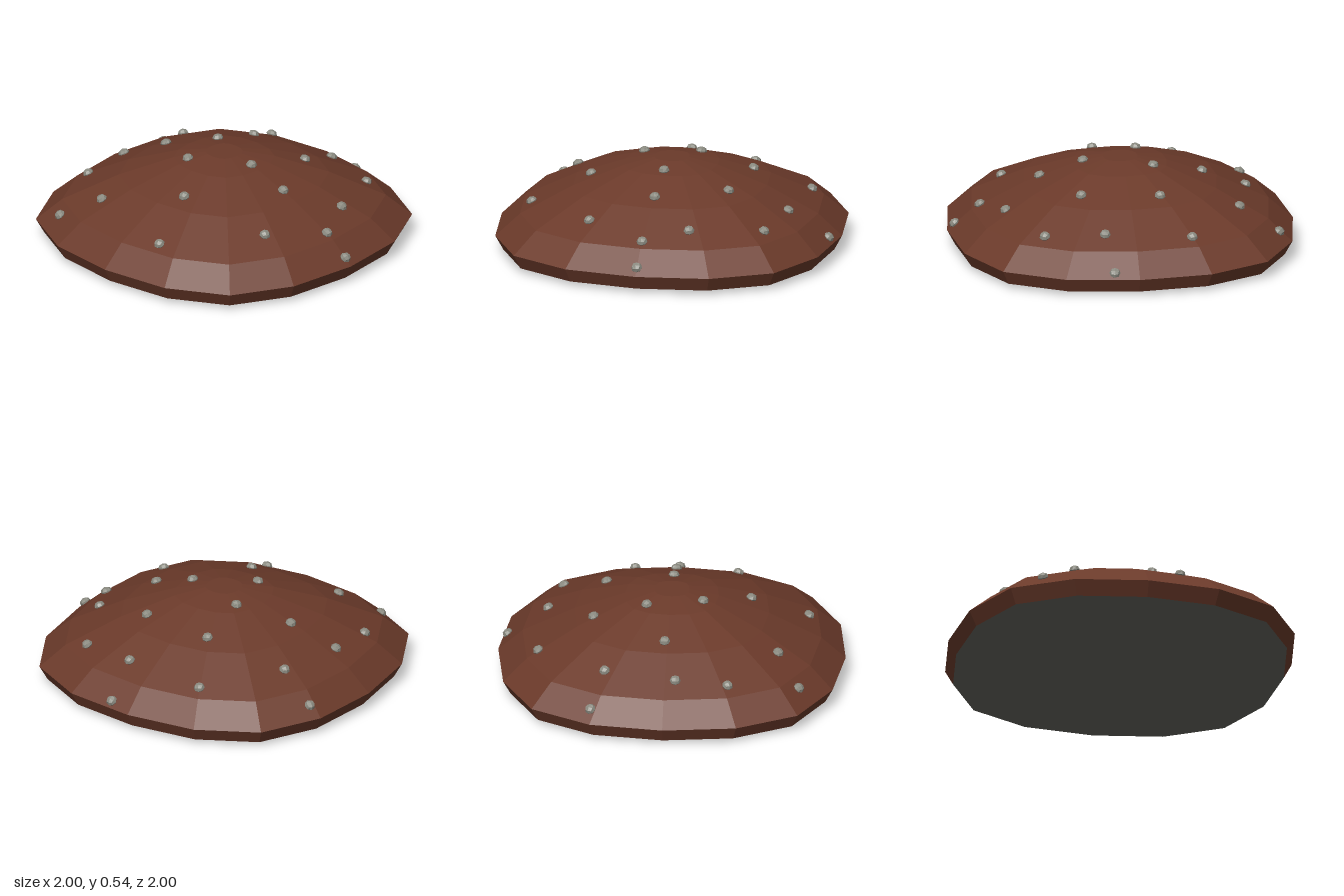
import * as THREE from 'three';

// One eighth of the rounded-square outline, mirrored into 16 corners
const A = 0.948, B = 0.422, C = 0.765;
const quarter = [[1, 0], [A, B], [C, C], [B, A]];
const outline = [];
for (let q = 0; q < 4; q++) {
  for (const [x, z] of quarter) {
    const c = [1, 0, -1, 0][q], s = [0, 1, 0, -1][q];
    outline.push([x * c - z * s, x * s + z * c]);
  }
}

// Skins a list of [scale, height] rings, running upwards; scale 0 is a closed point
function skin(rings) {
  const n = outline.length, pos = [], index = [];
  for (const [s, y] of rings) for (const [x, z] of outline) pos.push(x * s, y, z * s);
  for (let r = 0; r < rings.length - 1; r++) {
    for (let i = 0; i < n; i++) {
      const a = r * n + i, b = r * n + (i + 1) % n;
      if (rings[r + 1][0] > 0) index.push(a, a + n, b + n);
      if (rings[r][0] > 0) index.push(a, b + n, b);
      if (rings[r + 1][0] === 0) index.push(a, a + n, b);
      if (rings[r + 1][0] === 0) index.splice(-6, 3);
    }
  }
  const g = new THREE.BufferGeometry();
  g.setAttribute('position', new THREE.Float32BufferAttribute(pos, 3));
  g.setIndex(index);
  const flat = g.toNonIndexed();
  flat.computeVertexNormals();
  return flat;
}

// Small rounded cube: a subdivided box pushed towards a sphere
function studGeometry(radius) {
  const g = new THREE.BoxGeometry(2, 2, 2, 2, 2, 2);
  const p = g.attributes.position, v = new THREE.Vector3();
  for (let i = 0; i < p.count; i++) {
    v.fromBufferAttribute(p, i).normalize().multiplyScalar(radius);
    p.setXYZ(i, v.x, v.y * 0.8, v.z);
  }
  return g;
}

export function createModel() {
  const model = new THREE.Group();
  const material = (color) => new THREE.MeshStandardMaterial({ color, flatShading: true });
  const brown = material(0x6b3a2a), grey = material(0x66665e), stone = material(0x8a8a80);

  // Domed shell with a short inward-sloping rim
  const dome = new THREE.Mesh(skin([
    [0.955, 0.03], [1, 0.115], [0.86, 0.24], [0.56, 0.39], [0.27, 0.495], [0.1, 0.53], [0, 0.53],
  ]), brown);
  dome.name = 'dome';
  model.add(dome);

  // Very shallow underside
  const underside = new THREE.Mesh(skin([[0, 0.003], [0.955, 0.03]]), grey);
  underside.name = 'underside';
  model.add(underside);

  // Studs scattered over the dome, each seated along the local surface normal
  const spots = [
    [0.14, -0.95], [-0.33, -0.75], [0.17, -0.72], [0.51, -0.65], [-0.87, -0.42], [-0.65, -0.35],
    [-0.18, -0.44], [0.27, -0.39], [0.69, -0.25], [-0.175, -0.135], [0.215, 0], [0.465, 0],
    [0.81, 0], [0.955, 0], [-0.47, -0.015], [-0.73, 0.06], [-0.73, 0.36], [-0.11, 0.185],
    [0.645, 0.345], [0.11, 0.45], [-0.37, 0.63], [-0.575, 0.76], [0.22, 0.775],
  ];
  const studs = new THREE.Group();
  studs.name = 'studs';
  const geometry = studGeometry(0.032);
  const up = new THREE.Vector3(0, 1, 0), down = new THREE.Vector3(0, -1, 0);
  const ray = new THREE.Raycaster();
  for (const [x, z] of spots) {
    ray.set(new THREE.Vector3(x, 2, z), down);
    const hit = ray.intersectObject(dome)[0];
    if (!hit) continue;
    const stud = new THREE.Mesh(geometry, stone);
    stud.name = 'stud';
    stud.position.copy(hit.point).addScaledVector(hit.face.normal, 0.006);
    stud.quaternion.setFromUnitVectors(up, hit.face.normal);
    stud.rotateY(-Math.atan2(z, x));
    studs.add(stud);
  }
  model.add(studs);
  return model;
}
